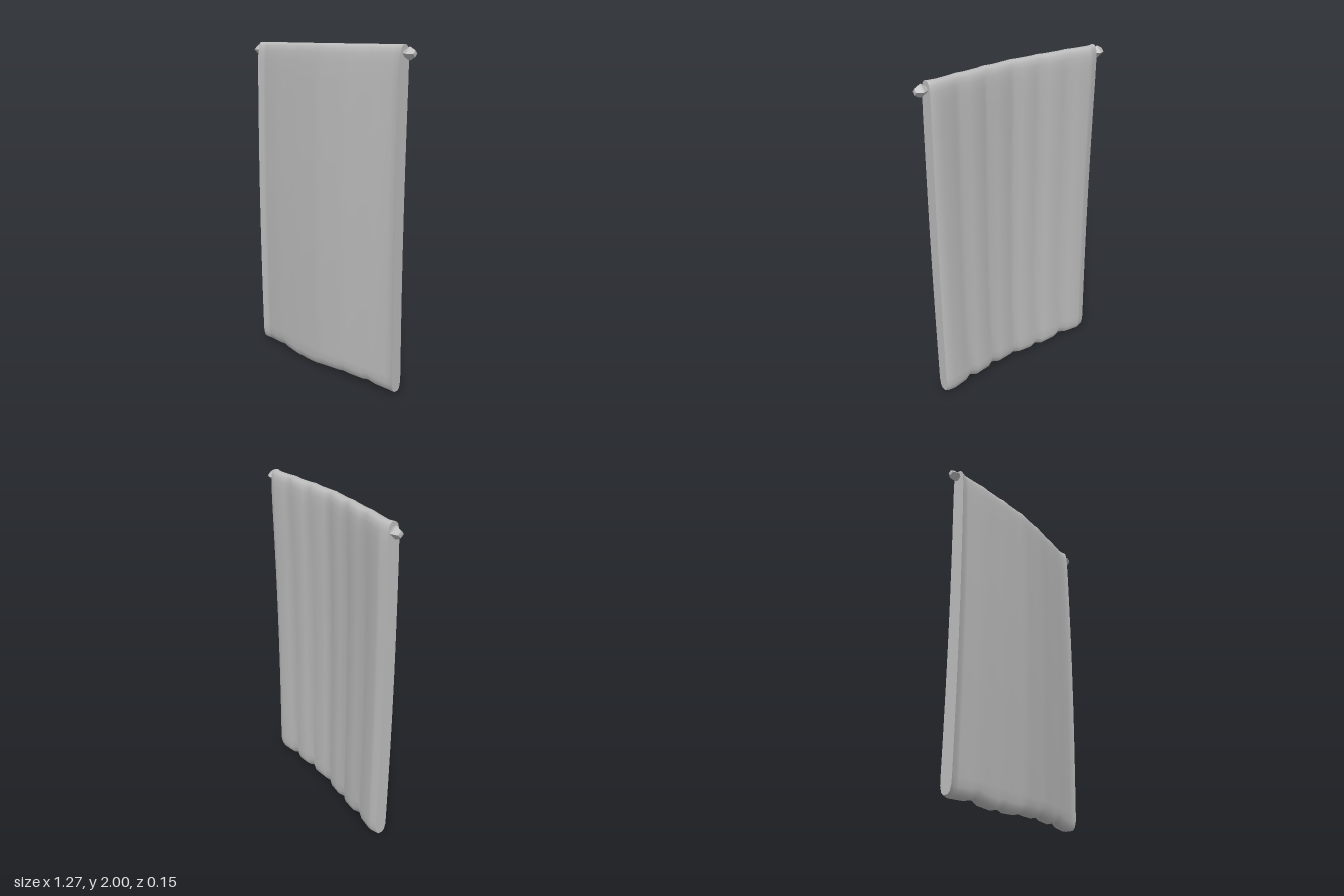
import * as THREE from 'three';

// Plan outline of the cloth: [x, front z, back z, hem height]
const STATIONS = [
  [-0.57, 0.027, -0.060, 0.02], [-0.53, 0.018, -0.072, 0.016], [-0.51, 0.020, -0.075, 0.016],
  [-0.42, 0.035, -0.066, 0.02], [-0.37, 0.042, -0.045, 0.03], [-0.32, 0.046, -0.056, 0.014],
  [-0.22, 0.056, -0.045, 0.004], [-0.18, 0.060, -0.022, 0.014], [-0.13, 0.063, -0.036, 0.006],
  [-0.04, 0.070, -0.029, 0.01], [0, 0.073, -0.011, 0.02], [0.04, 0.072, -0.023, 0.02],
  [0.14, 0.068, -0.036, 0.024], [0.19, 0.067, -0.017, 0.035], [0.23, 0.063, -0.040, 0.026],
  [0.33, 0.053, -0.050, 0.024], [0.375, 0.050, -0.032, 0.036], [0.42, 0.045, -0.050, 0.02],
  [0.51, 0.035, -0.061, 0.014], [0.55, 0.038, -0.055, 0.016], [0.567, 0.043, -0.047, 0.02],
];

// Vertical levels: [height, share of full thickness]; the first three follow the hem
const LEVELS = [
  [0, 0.4], [0.015, 0.75], [0.05, 0.97], [0.12, 1], [0.35, 1], [0.6, 1], [0.85, 1], [1.1, 1],
  [1.35, 1], [1.6, 1], [1.8, 1], [1.9, 0.97], [1.95, 0.9], [1.98, 0.75], [1.995, 0.48], [2, 0.2],
];

// One closed cross-section: up the front, over the top and down the back
function section([x, front, back, hem]) {
  const f = [], b = [];
  LEVELS.forEach(([h, share], k) => {
    const y = k < 3 ? h + hem : h;
    const bow = 0.012 * Math.sin(Math.PI * y / 2);
    const zf = front - 0.012 + bow, zb = back + bow;
    const mid = (zf + zb) / 2, half = (zf - zb) / 2 * share;
    f.push([x, y, mid + half]);
    b.unshift([x, y, mid - half]);
  });
  return [...f, ...b];
}

function makeGeometry(points, index) {
  const g = new THREE.BufferGeometry();
  g.setAttribute('position', new THREE.Float32BufferAttribute(points.flat(), 3));
  g.setIndex(index);
  g.computeVertexNormals();
  return g;
}

function clothGeometry(rings) {
  const n = rings[0].length, index = [];
  for (let i = 0; i < rings.length - 1; i++) {
    for (let j = 0; j < n; j++) {
      const a = i * n + j, d = i * n + (j + 1) % n;
      index.push(a, a + n, d, a + n, d + n, d);
    }
  }
  return makeGeometry(rings.flat(), index);
}

// Flat side edge, bridging front and back levels
function edgeGeometry(ring, side) {
  const index = [], n = ring.length;
  for (let k = 0; k < LEVELS.length - 1; k++) {
    const b = n - 1 - k, t = b - 1;
    if (side > 0) index.push(b, t, k, t, k + 1, k);
    else index.push(b, k, t, t, k, k + 1);
  }
  return makeGeometry(ring, index);
}

export function createModel() {
  const group = new THREE.Group();
  const grey = new THREE.MeshStandardMaterial({ color: 0xbcbcbc });
  grey.name = 'grey';
  const add = (name, geometry) => {
    const mesh = new THREE.Mesh(geometry, grey);
    mesh.name = name;
    group.add(mesh);
    return mesh;
  };

  // Hanging cloth with folds on the back
  const rings = STATIONS.map(section);
  add('cloth', clothGeometry(rings));
  add('clothRightEdge', edgeGeometry(rings[0], -1));
  add('clothLeftEdge', edgeGeometry(rings[rings.length - 1], 1));

  // Faceted finials on the rod ends
  const profile = [[0.02, -0.03], [0.02, 0.012], [0.036, 0.036], [0.034, 0.046], [0.018, 0.076], [0, 0.078]]
    .map(([r, y]) => new THREE.Vector2(r, y));
  const finial = new THREE.LatheGeometry(profile, 4).toNonIndexed();
  finial.computeVertexNormals();
  for (const side of [-1, 1]) {
    const mesh = add(side < 0 ? 'rightFinial' : 'leftFinial', finial);
    mesh.rotation.z = -side * Math.PI / 2;
    mesh.position.set(side * 0.558, 1.953, side < 0 ? -0.03 : -0.007);
  }
  return group;
}
